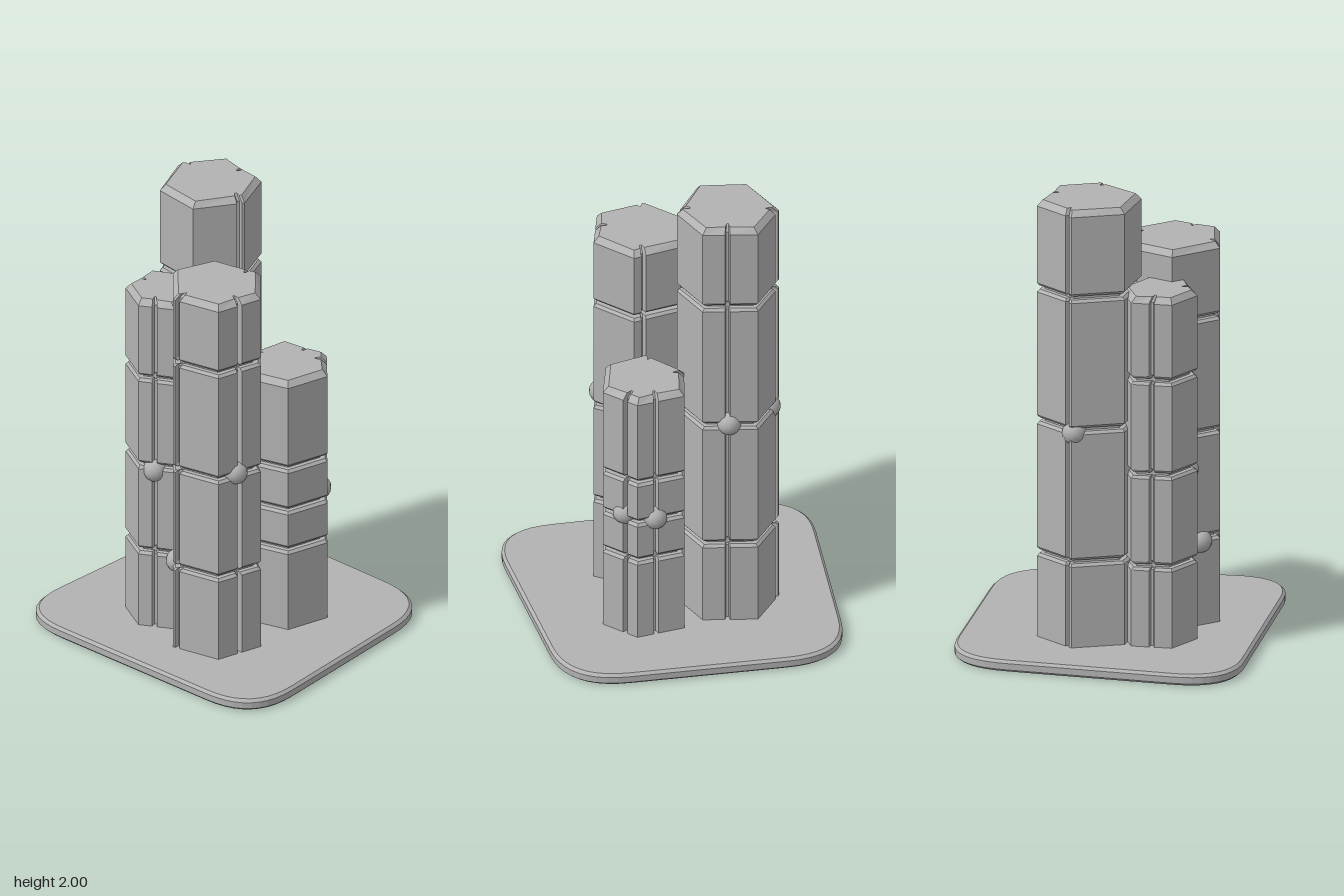
import * as THREE from 'three';

const stone = new THREE.MeshStandardMaterial({ color: 0xb2b2b2 });
stone.name = 'grey stone';

// Stacks inset copies of an outline [x, z] at rings [y, inset] and caps both ends
function loft(outline, rings) {
  const n = outline.length;
  const cx = outline.reduce((s, p) => s + p[0], 0) / n;
  const cz = outline.reduce((s, p) => s + p[1], 0) / n;
  const loops = rings.map(([y, inset]) => outline.map(([x, z]) => {
    const k = 1 - inset / Math.hypot(x - cx, z - cz);
    return [cx + (x - cx) * k, y, cz + (z - cz) * k];
  }));
  const pos = [];
  const tri = (a, b, c) => pos.push(...a, ...b, ...c);
  const top = loops[loops.length - 1];
  for (let i = 0; i < n; i++) {
    const j = (i + 1) % n;
    for (let r = 0; r + 1 < loops.length; r++) {
      const lo = loops[r], hi = loops[r + 1];
      tri(lo[j], lo[i], hi[i]);
      tri(lo[j], hi[i], hi[j]);
    }
    tri([cx, top[0][1], cz], top[j], top[i]);
    tri([cx, loops[0][0][1], cz], loops[0][i], loops[0][j]);
  }
  const g = new THREE.BufferGeometry();
  g.setAttribute('position', new THREE.Float32BufferAttribute(pos, 3));
  g.computeVertexNormals();
  return g;
}

function add(parent, name, geometry) {
  const mesh = new THREE.Mesh(geometry, stone);
  mesh.name = name;
  parent.add(mesh);
  return mesh;
}

// Cuts narrow vertical cracks into an outline; cracks are [edge, position along edge]
function crack(corners, cracks) {
  const out = [];
  corners.forEach((a, i) => {
    const b = corners[(i + 1) % corners.length];
    const dx = b[0] - a[0], dz = b[1] - a[1], len = Math.hypot(dx, dz);
    const at = (t, depth) => [a[0] + dx * t - dz / len * depth, a[1] + dz * t + dx / len * depth];
    out.push(a);
    for (const [edge, t] of cracks) {
      if (edge !== i) continue;
      const w = 0.011 / len;
      out.push(at(t - w, 0), at(t - w * 0.5, 0.024), at(t + w * 0.5, 0.024), at(t + w, 0));
    }
  });
  return out;
}

const columns = [
  {
    name: 'tallColumn', levels: [0.04, 0.43, 1.02, 1.61, 2],
    corners: [[-0.275, -0.305], [-0.045, -0.26], [0.025, -0.07], [-0.105, 0.115], [-0.32, 0.08], [-0.405, -0.135]],
    cracks: [[0, 0.55], [2, 0.1], [5, 0.12]],
    knobs: [[-0.36, 1.0, -0.13], [-0.16, 1.02, -0.26]],
  },
  {
    name: 'shortColumn', levels: [0.04, 0.43, 0.62, 0.82, 1.235],
    corners: [[0.045, -0.305], [0.255, -0.335], [0.375, -0.2], [0.32, -0.01], [0.14, 0.035], [0.005, -0.125]],
    cracks: [[0, 0.6], [1, 0.35], [4, 0.1], [5, 0.1]],
    knobs: [[0.29, 0.63, -0.245], [0.17, 0.62, -0.3]],
  },
  {
    name: 'frontRightColumn', levels: [0.04, 0.44, 0.91, 1.42, 1.745],
    corners: [[-0.03, 0.065], [0.19, 0.02], [0.33, 0.18], [0.27, 0.385], [0.05, 0.425], [-0.105, 0.245]],
    lowCorners: [[-0.02, 0.15], [0.25, 0.12], [0.33, 0.18], [0.27, 0.385], [0.05, 0.425], [-0.08, 0.27]],
    cracks: [[0, 0.8], [2, 0.5], [3, 0.9]],
    knobs: [[0.275, 0.91, 0.28], [0.01, 0.42, 0.345]],
  },
  {
    name: 'frontLeftColumn', levels: [0.04, 0.41, 0.82, 1.24, 1.61],
    corners: [[-0.335, 0.11], [-0.19, 0.045], [-0.045, 0.125], [-0.05, 0.3], [-0.19, 0.37], [-0.335, 0.285]],
    cracks: [[3, 0.55], [5, 0.5]],
    knobs: [[-0.145, 0.79, 0.315]],
  },
];

function buildColumn({ name, levels, corners, lowCorners = corners, cracks, knobs }) {
  const column = new THREE.Group();
  column.name = name;
  const last = levels.length - 2;
  for (let i = 0; i <= last; i++) {
    const y0 = levels[i] + (i ? 0.008 : 0);
    const y1 = levels[i + 1] - (i < last ? 0.008 : 0);
    const shape = i < 2 ? lowCorners : corners;
    const chamfer = i < last ? 0.012 : 0.026;
    // Bevelled block
    add(column, 'block' + (i + 1), loft(crack(shape, cracks), [
      [y0, i ? 0.012 : 0], [y0 + 0.012, 0], [y1 - chamfer, 0], [y1, chamfer],
    ]));
    // Core closing the joint above the block
    if (i < last) add(column, 'joint' + (i + 1), loft(lowCorners, [[y1 - 0.02, 0.035], [y1 + 0.036, 0.035]]));
  }
  // Rounded lumps where cracks meet
  for (const p of knobs) add(column, 'knob', new THREE.SphereGeometry(0.052, 14, 10)).position.set(...p);
  return column;
}

// Skewed square outline with rounded corners
function baseOutline() {
  const c = [[-0.6, -0.65], [0.62, -0.605], [0.685, 0.64], [-0.69, 0.605]];
  const pts = [];
  c.forEach(([x, z], i) => {
    const corner = new THREE.Vector2(x, z);
    const toward = (j, d) => {
      const v = new THREE.Vector2(...c[j % 4]).sub(corner);
      return corner.clone().addScaledVector(v.normalize(), d);
    };
    const arc = new THREE.QuadraticBezierCurve(toward(i + 3, 0.27), corner, toward(i + 1, 0.27));
    pts.push(...arc.getPoints(10).map((p) => [p.x, p.y]));
  });
  return pts;
}

export function createModel() {
  const model = new THREE.Group();
  model.name = 'stoneColumns';
  add(model, 'base', loft(baseOutline(), [[0, 0.012], [0.01, 0], [0.038, 0], [0.05, 0.014]]));
  for (const c of columns) model.add(buildColumn(c));
  return model;
}
